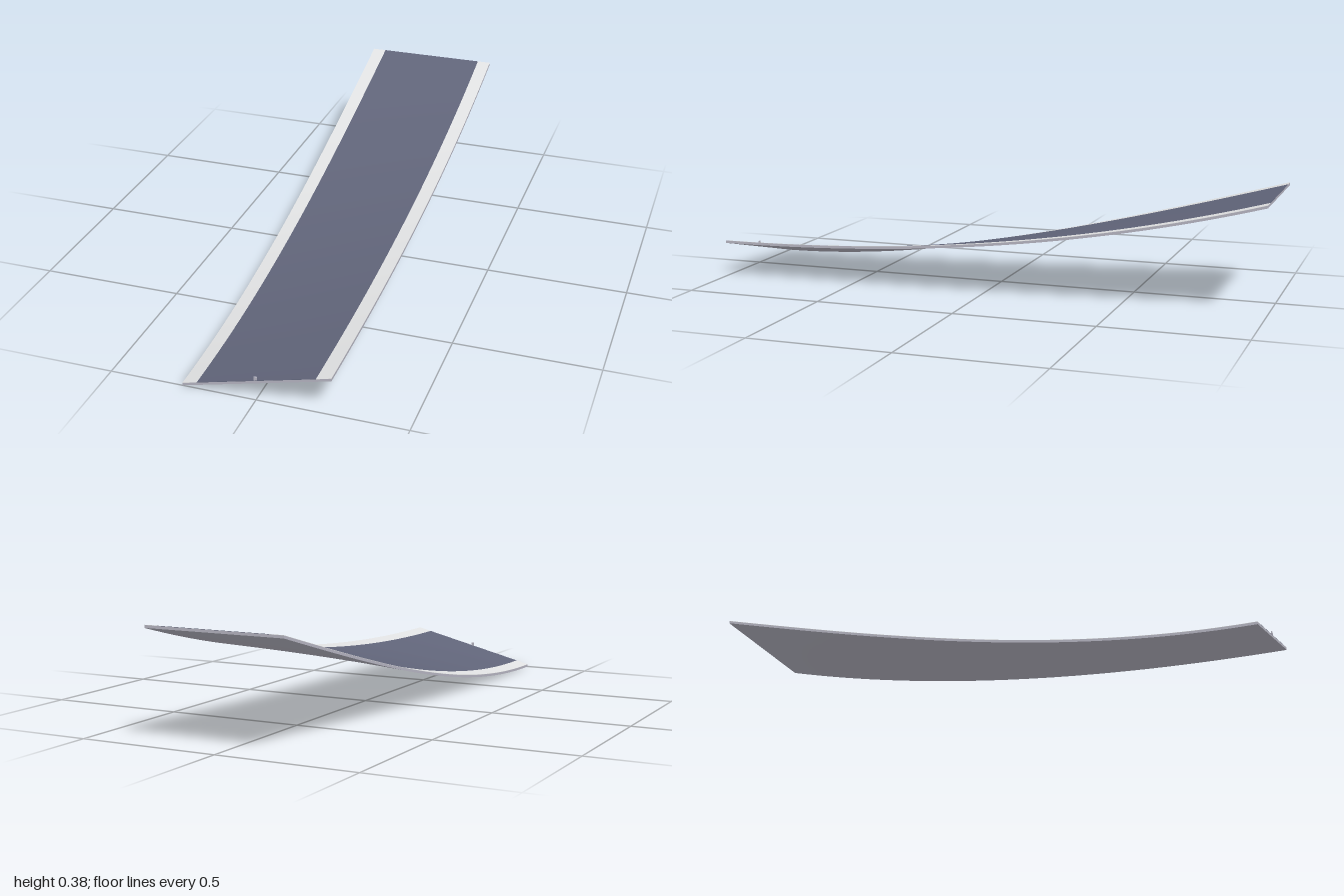
import * as THREE from 'three';

const LENGTH = 2, WIDTH = 0.5, ROAD = 0.4, STEPS = 48;
const SLAB = 0.009, PLATE = 0.001;

// Height of the underside at (x, z): a climbing centre line plus a bank that eases out
function deckHeight(x, z) {
  const t = (1 - z) / LENGTH;
  const ease = t * t * (3 - 2 * t);
  const climb = 0.312 * ease + 0.56 * (t * t * t - t * t);
  const bank = 0.25 * (1 - ease);
  return 0.063 + climb + bank * x;
}

// A straight bar bent to follow the deck
function deckStrip(name, material, x, width, bottom, thickness) {
  const geometry = new THREE.BoxGeometry(width, thickness, LENGTH, 4, 1, STEPS);
  geometry.translate(x, bottom + thickness / 2, 0);
  const p = geometry.attributes.position;
  for (let i = 0; i < p.count; i++) {
    p.setY(i, p.getY(i) + deckHeight(p.getX(i), p.getZ(i)));
  }
  geometry.computeVertexNormals();
  const mesh = new THREE.Mesh(geometry, material);
  mesh.name = name;
  return mesh;
}

export function createModel() {
  const paint = (name, color) => {
    const material = new THREE.MeshStandardMaterial({ color });
    material.name = name;
    return material;
  };
  const slabGrey = paint('lavender grey', 0xb9b8c5);
  const asphalt = paint('blue grey asphalt', 0x61657a);
  const paleConcrete = paint('pale concrete', 0xe2e3e4);

  const model = new THREE.Group();
  model.name = 'bankedRamp';

  // Supporting slab
  model.add(deckStrip('slab', slabGrey, 0, WIDTH, 0, SLAB));

  // Road surface and the two shoulders
  model.add(deckStrip('roadSurface', asphalt, 0, ROAD, SLAB, PLATE));
  const shoulder = (WIDTH - ROAD) / 2;
  for (const [name, side] of [['leftShoulder', 1], ['rightShoulder', -1]]) {
    const x = side * (ROAD + shoulder) / 2;
    model.add(deckStrip(name, paleConcrete, x, shoulder, SLAB, PLATE));
  }

  // Small centre marker standing at the low end
  const marker = new THREE.Mesh(new THREE.BoxGeometry(0.01, 0.014, 0.004), slabGrey);
  marker.name = 'centreMarker';
  marker.position.set(0, 0.079, 0.998);
  model.add(marker);
  return model;
}
